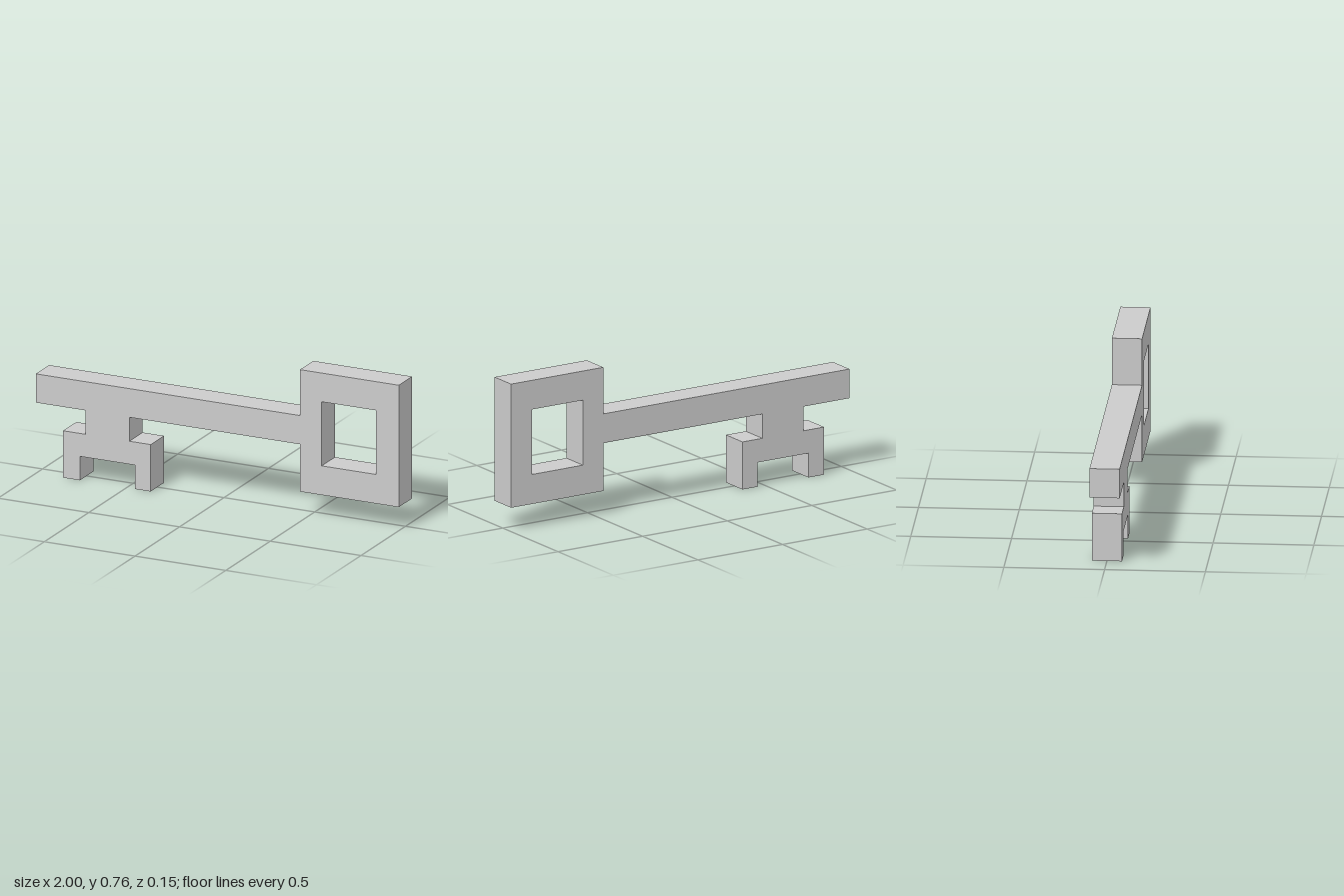
import * as THREE from 'three';

const DEPTH = 0.15;
const material = new THREE.MeshStandardMaterial({ color: 0xcccccc, flatShading: true });

const toPoints = (pairs) => pairs.map(([x, y]) => new THREE.Vector2(x, y));

// Flat plate cut from an outline, centred on z = 0
function plate(name, outline, hole) {
  const shape = new THREE.Shape(toPoints(outline));
  if (hole) shape.holes.push(new THREE.Path(toPoints(hole)));
  const geometry = new THREE.ExtrudeGeometry(shape, { depth: DEPTH, bevelEnabled: false });
  geometry.translate(0, 0, -DEPTH / 2);
  const mesh = new THREE.Mesh(geometry, material);
  mesh.name = name;
  return mesh;
}

export function createModel() {
  const key = new THREE.Group();
  key.name = 'key';

  // Long shank running into the rectangular bow with its window
  key.add(plate('shankAndBow',
    [[-1, 0.37], [0.455, 0.37], [0.455, 0.123], [1, 0.123],
      [1, 0.76], [0.455, 0.76], [0.455, 0.52], [-1, 0.52]],
    [[0.575, 0.275], [0.575, 0.61], [0.875, 0.61], [0.875, 0.275]]));

  // Short neck under the shank
  key.add(plate('bitNeck',
    [[-0.727, 0.245], [-0.485, 0.245], [-0.485, 0.37], [-0.727, 0.37]]));

  // Bit with two teeth
  key.add(plate('bit',
    [[-0.85, 0], [-0.757, 0], [-0.757, 0.125], [-0.455, 0.125],
      [-0.455, 0], [-0.367, 0], [-0.367, 0.245], [-0.85, 0.245]]));

  return key;
}
